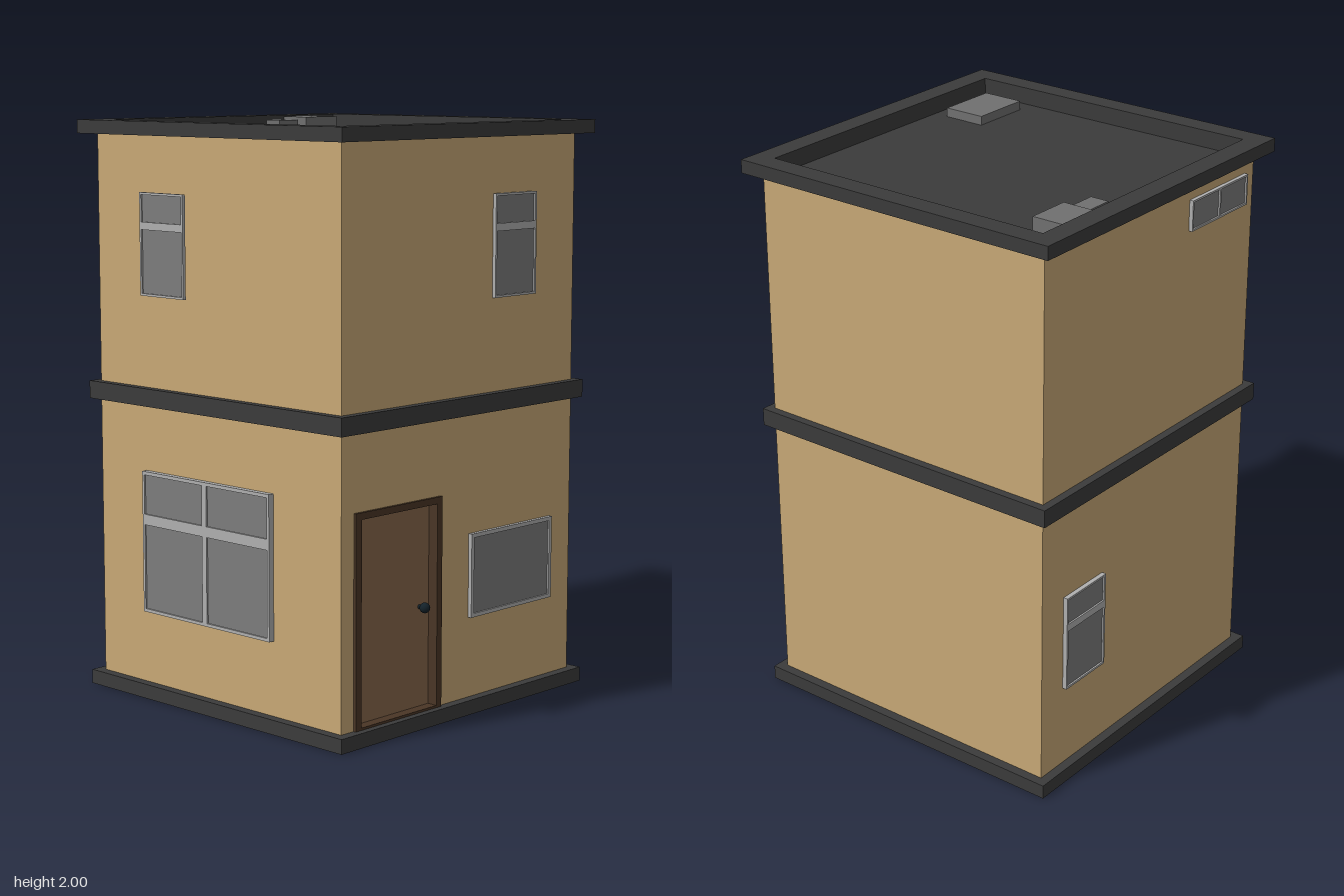
import * as THREE from 'three';

const mat = (color, side = THREE.FrontSide) => new THREE.MeshStandardMaterial({ color, side });
const M = {
  wall: mat(0xc8a976, THREE.DoubleSide),
  trim: mat(0x3b3b3b),
  frame: mat(0xb0b0b0),
  glass: mat(0x7c7c7c),
  unit: mat(0x707070),
  door: mat(0x86674b),
  doorFrame: mat(0x4a3626),
  knob: mat(0x14222a),
};
const H = 0.583; // half width of the walls

// Rectangle as a closed path: [x0, y0, x1, y1]
function rect([x0, y0, x1, y1], Type = THREE.Path) {
  const p = new Type();
  p.moveTo(x0, y0); p.lineTo(x1, y0); p.lineTo(x1, y1); p.lineTo(x0, y1); p.closePath();
  return p;
}

function panelShape(outer, holes = []) {
  const s = rect(outer, THREE.Shape);
  s.holes = holes.map((h) => rect(h));
  return s;
}

function add(parent, name, geometry, material) {
  const mesh = new THREE.Mesh(geometry, material);
  mesh.name = name;
  parent.add(mesh);
  return mesh;
}

// Rectangular plate with openings, from depth z0 to z1
function plate(parent, name, outer, holes, z0, z1, material) {
  const g = new THREE.ExtrudeGeometry(panelShape(outer, holes), { depth: z1 - z0, bevelEnabled: false });
  g.translate(0, 0, z0);
  return add(parent, name, g, material);
}

function box(parent, name, [x0, y0, z0], [x1, y1, z1], material) {
  const m = add(parent, name, new THREE.BoxGeometry(x1 - x0, y1 - y0, z1 - z0), material);
  m.position.set((x0 + x1) / 2, (y0 + y1) / 2, (z0 + z1) / 2);
  return m;
}

// Square horizontal ring around the building
function ring(parent, name, outer, inner, y0, y1) {
  const m = plate(parent, name, [-outer, -outer, outer, outer], [[-inner, -inner, inner, inner]], y0, y1, M.trim);
  m.geometry.rotateX(-Math.PI / 2);
}

// Window with a frame, its panes and glass set a little behind the frame
function windowUnit(parent, name, outer, panes, z0, z1, glassBack) {
  const g = new THREE.Group();
  g.name = name;
  plate(g, 'windowFrame', outer, panes, z0, z1, M.frame);
  for (const [x0, y0, x1, y1] of panes) {
    box(g, 'windowPane', [x0, y0, glassBack], [x1, y1, z1 - 0.006], M.glass);
  }
  parent.add(g);
}

// Narrow sash window: small pane above, tall pane below
function sash(parent, name, x0, y0, z0, z1, glassBack) {
  const x1 = x0 + 0.215, y1 = y0 + 0.35, e = 0.008;
  windowUnit(parent, name, [x0, y0, x1, y1], [
    [x0 + e, y0 + e, x1 - e, y0 + 0.224],
    [x0 + e, y0 + 0.25, x1 - e, y1 - e],
  ], z0, z1, glassBack);
}

export function createModel() {
  const house = new THREE.Group();
  house.name = 'house';

  // Four wall sides, each built facing +z and turned into place
  const doorOuter = [-0.525, 0.05, -0.107, 0.77];
  const doorInner = [-0.498, 0.058, -0.132, 0.747];
  const names = ['front', 'right', 'back', 'left'];
  const [front, right, , left] = names.map((n, i) => {
    const side = new THREE.Group();
    side.name = n + 'Side';
    side.rotation.y = (i * Math.PI) / 2;
    const holes = n === 'right' ? [doorInner] : [];
    const wall = add(side, n + 'Wall', new THREE.ShapeGeometry(panelShape([-H, 0.02, H, 1.96], holes)), M.wall);
    wall.position.z = H;
    house.add(side);
    return side;
  });

  // Horizontal trims and the sunken roof
  ring(house, 'basePlinth', 0.617, 0.578, 0, 0.05);
  ring(house, 'middleBand', 0.612, 0.575, 1.03, 1.092);
  ring(house, 'roofParapet', 0.633, 0.555, 1.953, 2);
  box(house, 'roofDeck', [-0.575, 1.925, -0.575], [0.575, 1.94, 0.575], M.trim);
  for (let i = 0; i < 4; i++) {
    const inner = box(house, 'parapetInside', [-0.58, 1.925, 0.555], [0.58, 1.96, 0.58], M.trim);
    inner.position.applyAxisAngle(new THREE.Vector3(0, 1, 0), (i * Math.PI) / 2);
    inner.rotation.y = (i * Math.PI) / 2;
  }

  // Roof equipment
  box(house, 'largeRoofUnit', [-0.55, 1.94, -0.45], [-0.435, 1.995, -0.29], M.unit);
  box(house, 'smallRoofUnit', [-0.525, 1.94, -0.27], [-0.457, 1.985, -0.175], M.unit);
  box(house, 'roofHatch', [0.345, 1.94, 0.27], [0.5, 1.972, 0.492], M.unit);

  // Front windows
  const panes = [];
  for (const [x0, x1] of [[-0.336, -0.046], [-0.024, 0.267]]) {
    for (const [y0, y1] of [[0.318, 0.615], [0.652, 0.79]]) panes.push([x0, y0, x1, y1]);
  }
  windowUnit(front, 'largeFrontWindow', [-0.346, 0.307, 0.277, 0.802], panes, 0.585, 0.606, 0.575);
  sash(front, 'upperFrontWindow', -0.325, 1.412, 0.61, 0.622, 0.611);

  // Right side windows
  sash(right, 'upperRightWindow', 0.149, 1.412, 0.584, 0.597, 0.585);
  windowUnit(right, 'lowerRightWindow', [0.038, 0.33, 0.468, 0.62],
    [[0.052, 0.343, 0.454, 0.606]], 0.584, 0.598, 0.585);

  // Door recessed into the right wall
  plate(right, 'doorFrame', doorOuter, [doorInner], 0.535, 0.593, M.doorFrame);
  box(right, 'doorPanel', [-0.5, 0.055, 0.537], [-0.13, 0.75, 0.555], M.door);
  const stem = add(right, 'doorKnobStem', new THREE.CylinderGeometry(0.008, 0.008, 0.03, 12), M.knob);
  stem.rotation.x = Math.PI / 2;
  stem.position.set(-0.178, 0.4, 0.565);
  add(right, 'doorKnob', new THREE.SphereGeometry(0.018, 16, 12), M.knob).position.set(-0.178, 0.4, 0.58);

  // Left side window and high strip window
  sash(left, 'lowerLeftWindow', -0.468, 0.35, 0.584, 0.6, 0.585);
  windowUnit(left, 'highLeftWindow', [0.2, 1.785, 0.53, 1.893],
    [[0.207, 1.792, 0.361, 1.886], [0.369, 1.792, 0.523, 1.886]], 0.584, 0.598, 0.585);

  return house;
}
